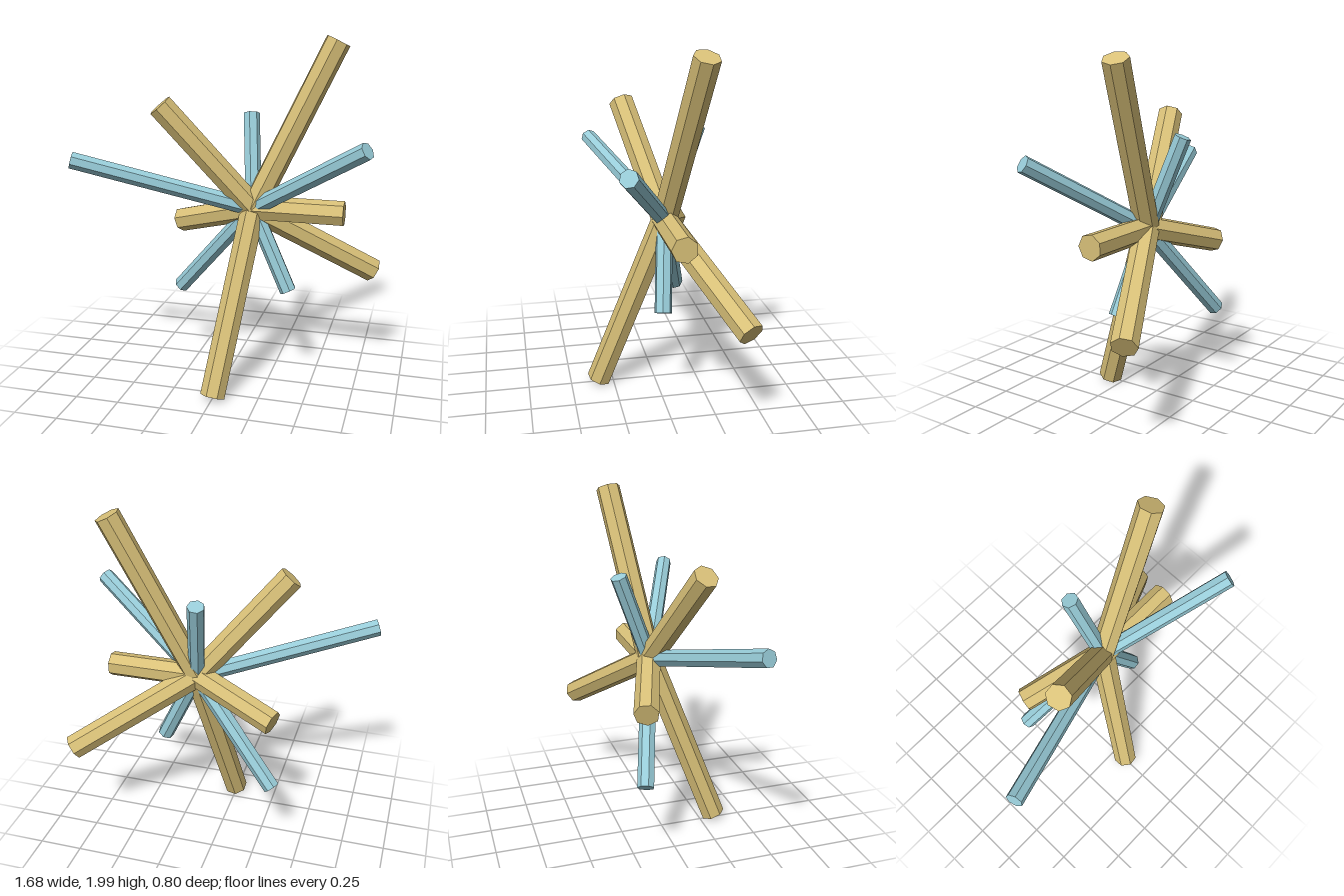
import * as THREE from 'three';

const UP = new THREE.Vector3(0, 1, 0);
const HUB = new THREE.Vector3(0.145, 1.04, -0.03);

// Seven-sided rod running from the hub to a tip
function rod(name, tip, radius, material) {
  const end = new THREE.Vector3(...tip);
  const dir = end.clone().sub(HUB);
  const mesh = new THREE.Mesh(
    new THREE.CylinderGeometry(radius, radius, dir.length(), 7),
    material
  );
  mesh.name = name;
  mesh.position.copy(HUB).add(end).multiplyScalar(0.5);
  mesh.quaternion.setFromUnitVectors(UP, dir.normalize());
  return mesh;
}

export function createModel() {
  const gold = new THREE.MeshStandardMaterial({ color: 0xd8c078, flatShading: true });
  gold.name = 'gold';
  const blue = new THREE.MeshStandardMaterial({ color: 0x98ccd8, flatShading: true });
  blue.name = 'pale blue';

  const group = new THREE.Group();
  group.name = 'crystalBurst';

  // Thick gold rods
  const thick = [
    [0.58, 1.97, -0.145],
    [0.005, 0.03, 0.335],
    [-0.345, 1.625, 0.13],
    [-0.335, 0.895, -0.19],
    [0.66, 1.04, -0.03],
    [0.805, 0.625, -0.34],
  ];
  thick.forEach((tip, i) => group.add(rod(`thickRod${i + 1}`, tip, 0.071, gold)));

  // Thin blue rods
  const thin = [
    [-0.82, 1.325, 0.275],
    [0.085, 1.55, -0.22],
    [0.8, 1.455, 0.27],
    [-0.345, 0.47, -0.2],
    [0.365, 0.58, 0.02],
  ];
  thin.forEach((tip, i) => group.add(rod(`thinRod${i + 1}`, tip, 0.048, blue)));

  return group;
}
